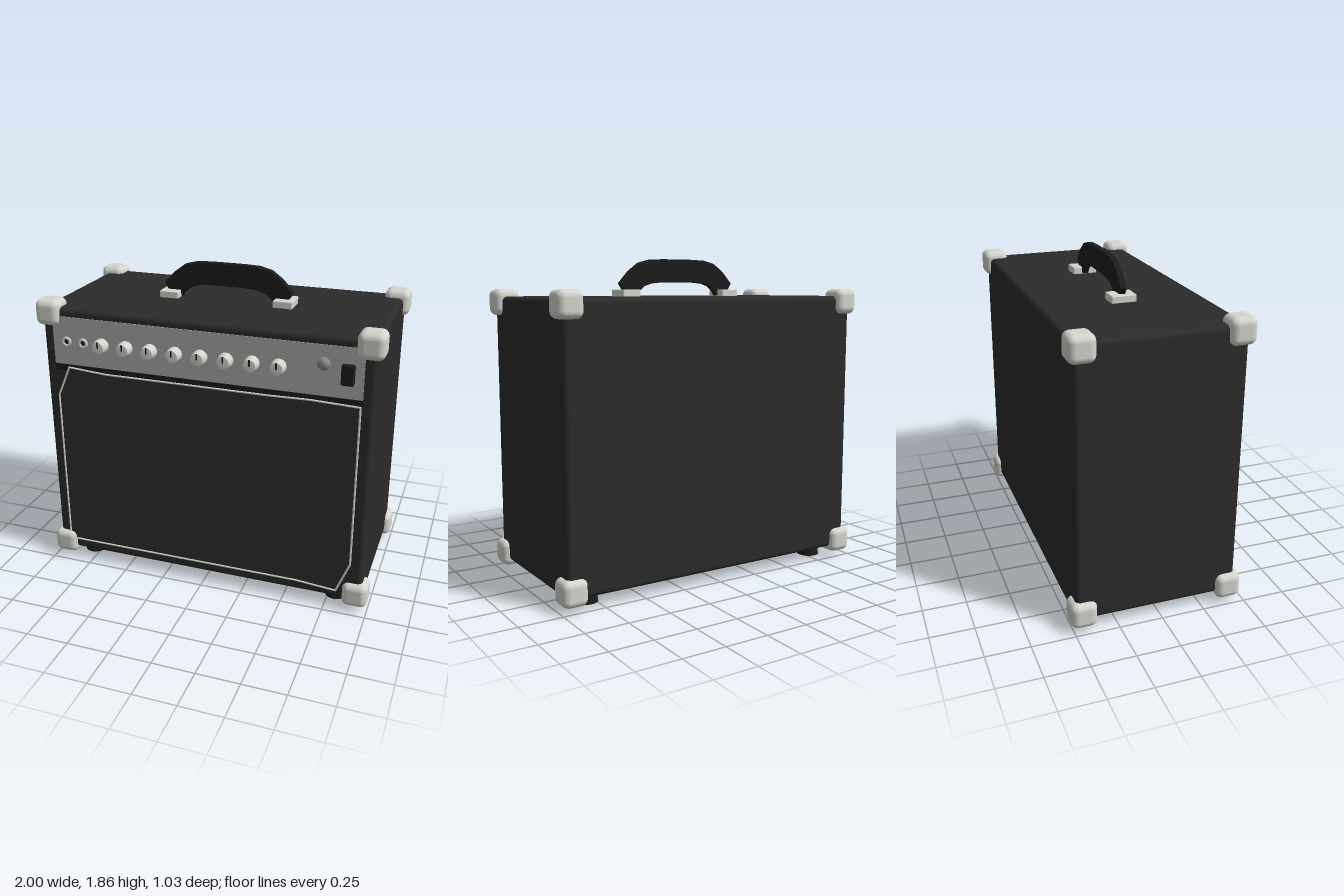
import * as THREE from 'three';
import { RoundedBoxGeometry } from 'three/addons/geometries/RoundedBoxGeometry.js';

const mat = (name, color) => new THREE.MeshStandardMaterial({ name, color });

export function createModel() {
  const black = mat('black vinyl', 0x2b2b2c);
  const cloth = mat('grille cloth', 0x2d2d2e);
  const rubber = mat('black rubber', 0x1c1c1d);
  const panelGrey = mat('panel grey', 0xa9a9ab);
  const ivory = mat('pale metal', 0xd4d6ce);
  const lampGrey = mat('lamp grey', 0x8c8c8c);

  const model = new THREE.Group();
  model.name = 'amplifier';
  const add = (name, geometry, material, x = 0, y = 0, z = 0, parent = model) => {
    const mesh = new THREE.Mesh(geometry, material);
    mesh.name = name;
    mesh.position.set(x, y, z);
    parent.add(mesh);
    return mesh;
  };
  // Profile turned around the z axis, given as [radius, z] pairs
  const turned = (pairs, segments = 28) =>
    new THREE.LatheGeometry(pairs.map(([r, z]) => new THREE.Vector2(r, z)), segments).rotateX(Math.PI / 2);

  const midZ = -0.02, frontZ = 0.448;

  // Cabinet
  add('cabinet', new RoundedBoxGeometry(1.93, 1.58, 0.936, 4, 0.03), black, 0, 0.855, midZ);

  // Corner protectors and feet
  const cornerGeo = new RoundedBoxGeometry(0.148, 0.15, 0.148, 5, 0.04);
  const footGeo = new THREE.CylinderGeometry(0.058, 0.067, 0.075, 24);
  for (const x of [-1, 1]) {
    for (const z of [-1, 1]) {
      for (const y of [0.108, 1.612]) {
        add('cornerProtector', cornerGeo, ivory, x * 0.926, y, midZ + z * 0.425);
      }
      add('foot', footGeo, rubber, x * 0.795, 0.0375, midZ + z * 0.33);
    }
  }

  // Control panel and the dark strip beneath it
  add('controlPanel', new THREE.BoxGeometry(1.8, 0.284, 0.01), panelGrey, 0, 1.455, frontZ);
  add('baffleStrip', new THREE.BoxGeometry(1.8, 0.04, 0.006), rubber, 0, 1.294, frontZ - 0.001);

  // Grille cloth with clipped corners, edged with piping
  const outline = [
    [-0.815, 1.293], [-0.58, 1.276], [0.4, 1.276], [0.62, 1.281], [0.89, 1.272],
    [0.89, 0.305], [0.815, 0.115], [0.58, 0.134], [-0.893, 0.134], [-0.893, 1.115],
  ];
  const grilleShape = new THREE.Shape(outline.map(([x, y]) => new THREE.Vector2(x, y)));
  add('grille', new THREE.ExtrudeGeometry(grilleShape, { depth: 0.008, bevelEnabled: false }), cloth, 0, 0, 0.444);
  const piping = new THREE.CurvePath();
  outline.forEach(([x, y], i) => {
    const [nx, ny] = outline[(i + 1) % outline.length];
    piping.add(new THREE.LineCurve3(new THREE.Vector3(x, y, 0), new THREE.Vector3(nx, ny, 0)));
  });
  piping.curves.forEach((line) => {
    add('piping', new THREE.TubeGeometry(line, 1, 0.006, 8), ivory, 0, 0, 0.452);
  });
  const joint = new THREE.SphereGeometry(0.006, 8, 6);
  outline.forEach(([x, y]) => add('pipingJoint', joint, ivory, x, y, 0.452));

  // Knobs with pointer marks
  const knobGeo = turned([[0.042, 0], [0.042, 0.03], [0.041, 0.034], [0.036, 0.058], [0.033, 0.061], [0, 0.061]]);
  const pointerGeo = new THREE.BoxGeometry(0.009, 0.036, 0.006);
  for (let i = 0; i < 8; i++) {
    const knob = new THREE.Group();
    knob.name = 'knob';
    knob.position.set(-0.593 + i * 0.1482, 1.452, 0.45);
    add('knobCap', knobGeo, ivory, 0, 0, 0, knob);
    add('pointer', pointerGeo, rubber, 0, 0.017, 0.06, knob);
    model.add(knob);
  }

  // Input jacks
  const jackGeo = turned([[0.029, 0], [0.029, 0.009], [0.025, 0.012], [0.015, 0.012], [0.015, 0]], 20);
  const holeGeo = new THREE.CircleGeometry(0.016, 20);
  for (const x of [-0.815, -0.711]) {
    add('jackRing', jackGeo, ivory, x, 1.452, 0.451);
    add('jackHole', holeGeo, rubber, x, 1.452, 0.456);
  }

  // Pilot lamp and power switch
  const lamp = add('pilotLamp', new THREE.SphereGeometry(0.036, 24, 16), lampGrey, 0.685, 1.493, 0.452);
  lamp.scale.z = 0.8;
  add('powerSwitch', new RoundedBoxGeometry(0.07, 0.112, 0.04, 3, 0.009), rubber, 0.817, 1.45, 0.465);

  // Handle plates
  for (const x of [-0.345, 0.345]) {
    add('handlePlate', new RoundedBoxGeometry(0.115, 0.045, 0.145, 2, 0.007), ivory, x, 1.663, midZ);
  }

  // Arched handle strap, half outline mirrored
  const outer = [[0.385, 1.72], [0.325, 1.786], [0.26, 1.834], [0.19, 1.852], [0.1, 1.856]];
  const inner = [[0.1, 1.733], [0.18, 1.726], [0.23, 1.71], [0.262, 1.685], [0.282, 1.655], [0.35, 1.664]];
  const half = [...outer].reverse().concat([...inner].reverse());
  const mirrored = [...half].reverse().map(([x, y]) => [-x, y]);
  const strap = new THREE.Shape(half.concat(mirrored).map(([x, y]) => new THREE.Vector2(x, y)));
  const strapGeo = new THREE.ExtrudeGeometry(strap, {
    depth: 0.022, bevelEnabled: true, bevelThickness: 0.008, bevelSize: 0.006, bevelSegments: 3,
  });
  add('handleStrap', strapGeo, rubber, 0, 0, midZ - 0.011);

  return model;
}
